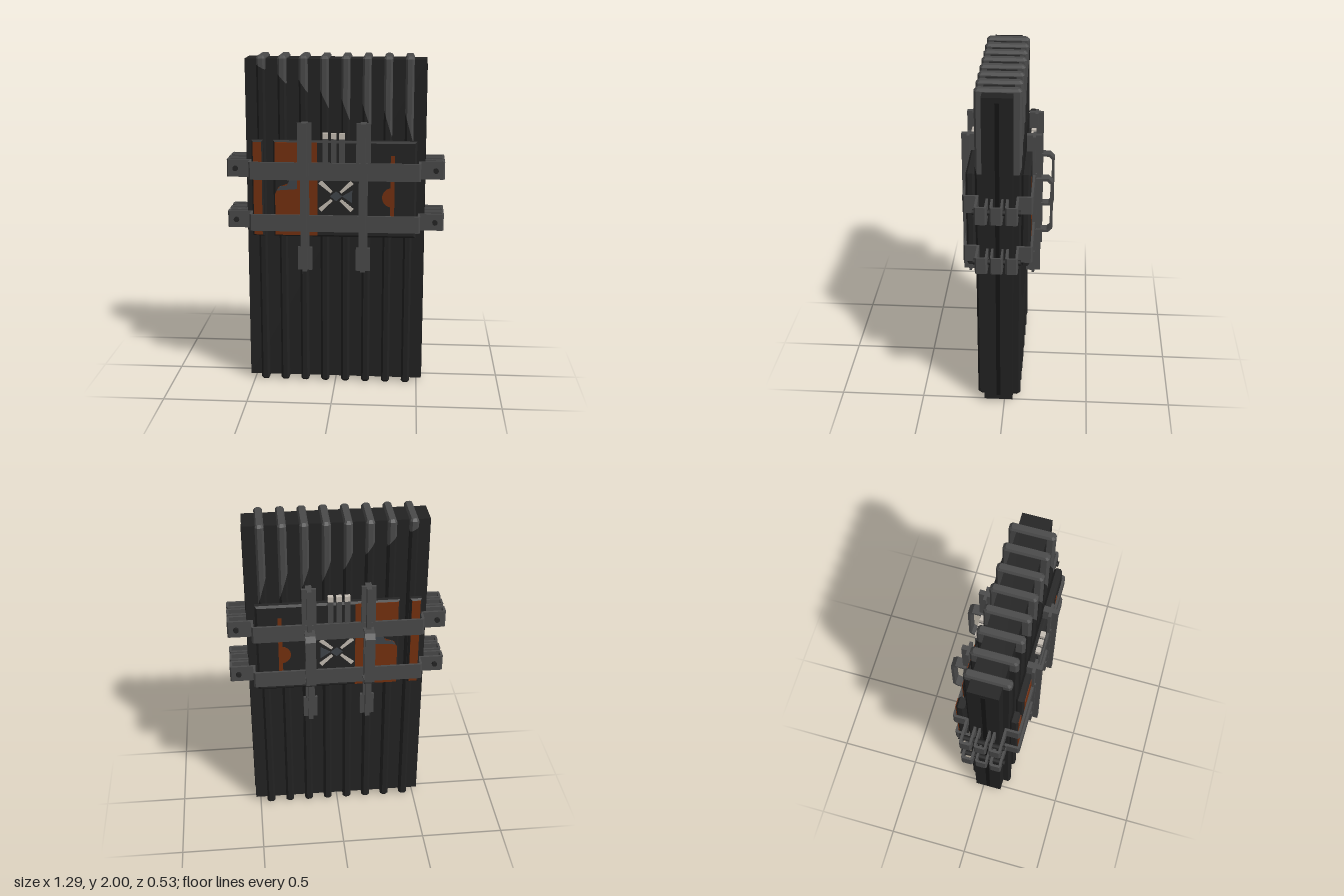
import * as THREE from 'three';

const C = 0.035; // depth of the middle plane of the pack

const mat = (name, color, side = THREE.FrontSide) => {
  const m = new THREE.MeshStandardMaterial({ color, side });
  m.name = name;
  return m;
};

// Flat-sided solid lofted through rings, counterclockwise seen from above
function loft(rings) {
  const n = rings[0].length, pos = rings.flat(2), idx = [];
  for (let r = 0; r < rings.length - 1; r++)
    for (let i = 0; i < n; i++) {
      const j = (i + 1) % n, a = r * n + i, b = r * n + j;
      idx.push(a, b, b + n, a, b + n, a + n);
    }
  const t = (rings.length - 1) * n;
  for (let i = 1; i < n - 1; i++) idx.push(0, i + 1, i, t, t + i, t + i + 1);
  const g = new THREE.BufferGeometry();
  g.setAttribute('position', new THREE.Float32BufferAttribute(pos, 3));
  g.setIndex(idx);
  const flat = g.toNonIndexed();
  flat.computeVertexNormals();
  return flat;
}

// Ring of a chamfered rectangle; y may vary with x
function ring(a, b, c, yAt) {
  return [[a, b - c], [a, c - b], [a - c, -b], [c - a, -b], [-a, c - b], [-a, b - c], [c - a, b], [a - c, b]]
    .map(([x, z]) => [x, yAt(x), z]);
}

// Outline of a bent strip with constant thickness
function stripShape(points, t) {
  const p = points.map(([x, y]) => new THREE.Vector2(x, y));
  const normal = (a, b) => new THREE.Vector2(a.y - b.y, b.x - a.x).normalize();
  const inner = p.map((q, i) => {
    const n1 = normal(p[Math.max(i - 1, 0)], p[Math.max(i, 1)]);
    const n2 = i < p.length - 1 ? normal(q, p[i + 1]) : n1;
    const m = n1.clone().add(n2);
    return q.clone().addScaledVector(m, (2 * t) / m.lengthSq());
  });
  return new THREE.Shape([...p, ...inner.reverse()]);
}

const poly = (pts) => new THREE.Shape(pts.map(([x, y]) => new THREE.Vector2(x, y)));
const rect = (x0, x1, y0, y1) => poly([[x0, y0], [x1, y0], [x1, y1], [x0, y1]]);

export function createModel() {
  const model = new THREE.Group();
  model.name = 'ribbedPack';
  const black = mat('blackCasing', 0x222222);
  const slotBlack = mat('slotBlack', 0x141414);
  const steel = mat('greySteel', 0x4a4a4a);
  const plateDark = mat('darkPlate', 0x242424);
  const rust = mat('rustPaint', 0x74300f);
  const bone = mat('bonePaint', 0xc4bcb2);
  const slate = mat('slatePaint', 0x40444a);

  const add = (name, geo, m, x = 0, y = 0, z = 0) => {
    const mesh = new THREE.Mesh(geo, m);
    mesh.name = name;
    mesh.position.set(x, y, z);
    model.add(mesh);
    return mesh;
  };
  const box = (name, m, x0, x1, y0, y1, z0, z1) =>
    add(name, new THREE.BoxGeometry(x1 - x0, y1 - y0, Math.abs(z1 - z0)), m,
      (x0 + x1) / 2, (y0 + y1) / 2, (z0 + z1) / 2);

  // Central casing with a slot down each side
  box('casing', black, -0.53, 0.53, 0.02, 1.98, -0.05, 0.12);
  for (const s of [-1, 1]) {
    const x = s * 0.53;
    box('sideSlot', slotBlack, x - 0.003, x + 0.003, 0.05, 1.95, C - 0.012, C + 0.012);
  }

  // Ribs, bare steel at the top and black below
  const cuts = [1.92, 1.84, 1.79, 1.7, 1.63, 1.58, 1.53, 1.5];
  cuts.forEach((cut, i) => {
    const x = -0.433 + i * 0.1235;
    const slant = (2 - cut) * 0.35;
    const full = (yAt) => ring(0.025, 0.13, 0.012, yAt);
    const small = (y) => ring(0.017, 0.115, 0.008, () => y);
    const split = (px) => cut + slant * (0.5 - px / 0.05);
    add('ribLower', loft([small(0), full(() => 0.015), full(split)]), black, x, 0, C);
    add('ribTop', loft([full(split), full(() => 1.985), small(2)]), steel, x, 0, C);
  });

  // Strap clamps: two heights, each with front, back and middle links
  const strapRows = [[0.975, 1.075], [1.285, 1.39]];
  const flatExtrude = (shape, h) =>
    new THREE.ExtrudeGeometry(shape, { depth: h, bevelEnabled: false }).rotateX(Math.PI / 2);
  for (const [y0, y1] of strapRows) {
    const h = y1 - y0;
    for (const s of [-1, 1]) {
      const half = [[0.525, 0.05], [0.635, 0.05], [0.645, 0.06], [0.645, 0.112], [0.637, 0.12],
        [0.505, 0.12], [0.505, 0.187], [0.495, 0.197]];
      const path = [...half, ...half.map(([x, z]) => [-x, z]).reverse()].map(([x, z]) => [x, z * s]);
      add('strap', flatExtrude(stripShape(path, s * 0.014), h), steel, 0, y1, C);

      // Middle link and clamp bolt
      const link = [[0.525, -0.035], [0.637, -0.035], [0.645, -0.027], [0.645, 0.027], [0.637, 0.035], [0.525, 0.035]]
        .map(([x, z]) => [x * s, z]);
      add('middleLink', flatExtrude(stripShape(link, s * 0.012), h), steel, 0, y1, C);
      const bolt = new THREE.CylinderGeometry(0.016, 0.016, 0.268, 12).rotateX(Math.PI / 2);
      add('clampBolt', bolt, plateDark, s * 0.593, (y0 + y1) / 2, C);
    }
  }

  // Everything on the front is repeated on the back
  for (const s of [1, -1]) {
    const z = (d) => C + s * d;

    // Armour plates with chamfered edges
    for (const [x0, x1] of [[-0.36, 0.48], [-0.487, -0.42]]) {
      const b = 0.012;
      const g = new THREE.ExtrudeGeometry(rect(x0 + b, x1 - b, 0.94 + b, 1.517 - b),
        { depth: 0.026, bevelSize: b, bevelThickness: b, bevelSegments: 1 });
      add('armourPlate', g, plateDark, 0, 0, z(0.155) - 0.013);
    }

    // Painted markings
    const paint = (name, shape, m, d = 0.181, t = 0.004) =>
      add(name, new THREE.ExtrudeGeometry(shape, { depth: t, bevelEnabled: false, curveSegments: 10 }), m,
        0, 0, z(d) - t / 2);
    paint('rustStrip', rect(-0.478, -0.428, 0.95, 1.507), rust);
    paint('rustPanel', poly([[-0.35, 0.95], [-0.1, 0.95], [-0.1, 1.507], [-0.35, 1.507], [-0.35, 1.3],
      [-0.23, 1.3], [-0.23, 1.28], [-0.33, 1.24], [-0.35, 1.2]]), rust);
    paint('panelMark', poly([[-0.34, 1.22], [-0.22, 1.23], [-0.22, 1.29], [-0.26, 1.29], [-0.28, 1.25], [-0.32, 1.245]]),
      slate, 0.183);
    paint('rustLine', rect(0.328, 0.352, 1.02, 1.435), rust);
    const bump = new THREE.Shape();
    bump.absarc(0.338, 1.185, 0.058, Math.PI / 2, Math.PI * 1.5);
    paint('rustBump', bump, rust, 0.18);

    // Diagonal cross
    for (let k = 0; k < 4; k++) {
      const a = Math.atan2(k < 2 ? 0.08 : -0.08, k % 2 ? 0.09 : -0.09);
      const at = (r, w) => [0.01 + r * Math.cos(a) - w * Math.sin(a), 1.19 + r * Math.sin(a) + w * Math.cos(a)];
      paint('crossArm', poly([at(0.035, -0.008), at(0.127, -0.013), at(0.127, 0.013), at(0.035, 0.008)]), bone, 0.183);
    }
    paint('crossHub', poly([[-0.025, 1.19], [0.01, 1.16], [0.045, 1.19], [0.01, 1.22]]), slate, 0.184);
    paint('crossWedge', poly([[0.045, 1.19], [0.105, 1.15], [0.105, 1.225]]), slate, 0.182);

    // Three pegs with pale tips
    for (const x of [-0.053, -0.004, 0.045]) {
      box('peg', steel, x - 0.016, x + 0.016, 1.36, 1.53, z(0.162), z(0.19));
      box('pegTip', bone, x - 0.016, x + 0.016, 1.53, 1.563, z(0.162), z(0.19));
    }

    // Upright braces: flange, fin and hooked ends
    for (const x of [-0.174, 0.17]) {
      box('braceFlange', steel, x - 0.042, x + 0.042, 1.39, 1.625, z(0.18), z(0.197));
      box('braceFlange', steel, x - 0.042, x + 0.042, 0.74, 0.88, z(0.18), z(0.197));
      box('braceWeb', steel, x - 0.026, x + 0.026, 0.88, 1.39, z(0.18), z(0.204));
      box('braceFin', steel, x - 0.014, x + 0.014, 0.74, 1.625, z(0.18), z(0.23));
      box('braceHook', steel, x - 0.018, x + 0.018, 1.525, 1.625, z(0.145), z(0.182));
      box('braceHook', steel, x - 0.018, x + 0.018, 0.74, 0.93, z(0.145), z(0.182));
    }
  }

  // Carrying handles on the back
  for (const x of [-0.174, 0.17]) {
    const path = [[-0.15, 1.36], [-0.238, 1.36], [-0.265, 1.333], [-0.265, 1.037], [-0.238, 1.01], [-0.15, 1.01]];
    const g = new THREE.ExtrudeGeometry(stripShape(path, 0.016), { depth: 0.06, bevelEnabled: false })
      .rotateY(-Math.PI / 2);
    add('carryHandle', g, steel, x + 0.03, 0, 0);
  }
  return model;
}
